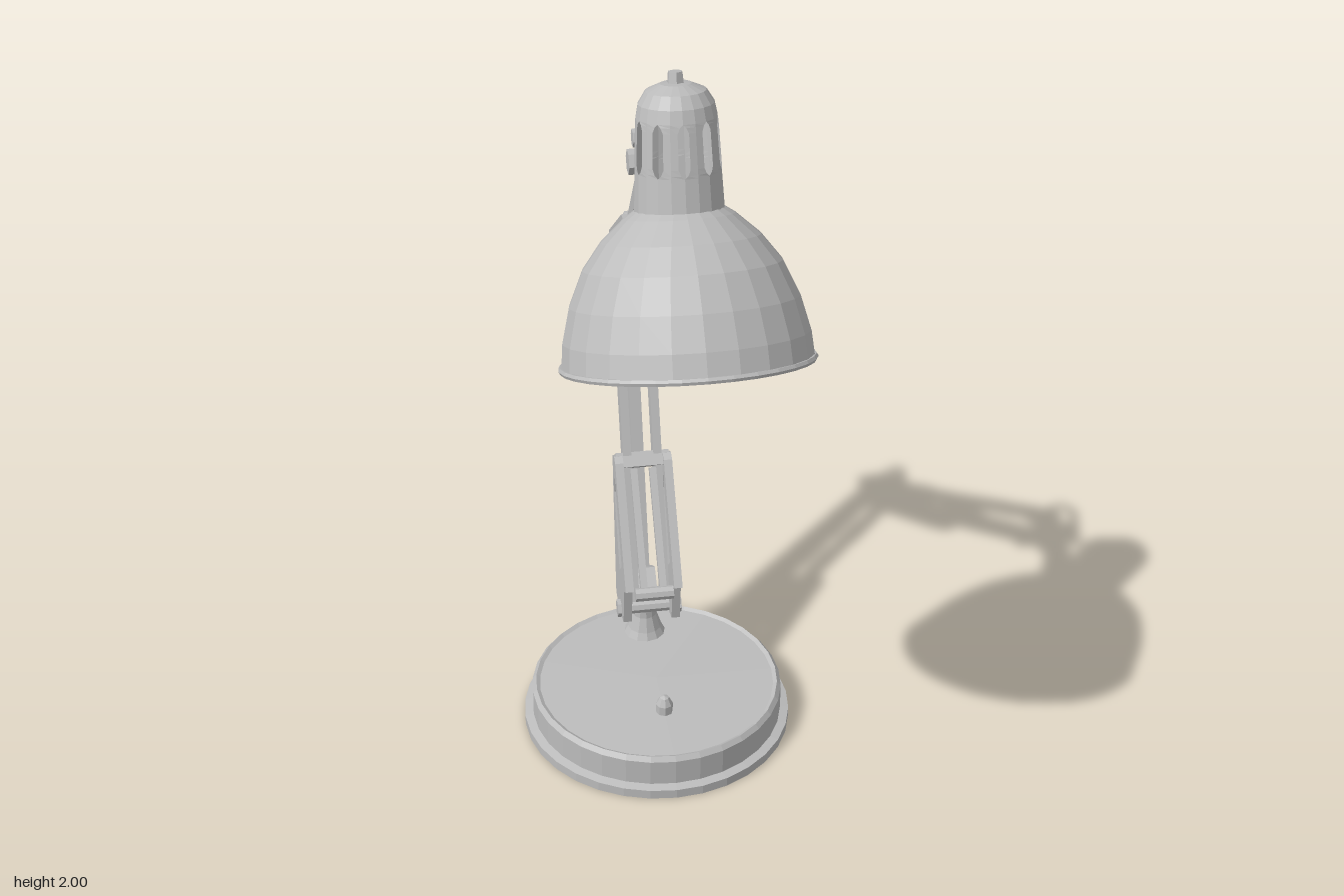
import * as THREE from 'three';

export function createModel() {
  const lamp = new THREE.Group();
  lamp.name = 'deskLamp';
  const grey = new THREE.MeshStandardMaterial({ color: 0xbcbcbc, flatShading: true, side: THREE.DoubleSide });
  grey.name = 'grey enamel';

  const add = (name, geo, parent = lamp) => {
    const m = new THREE.Mesh(geo, grey);
    m.name = name;
    parent.add(m);
    return m;
  };
  const V = (x, y, z) => new THREE.Vector3(x, y, z);
  const lathe = (pts, seg = 24, start = 0, len = Math.PI * 2) =>
    new THREE.LatheGeometry(pts.map(p => new THREE.Vector2(...p)), seg, start, len);

  // Rectangular bar between two [z, y] points: w across x, t thick
  const bar = (name, a, b, x, w, t) => {
    const dz = b[0] - a[0], dy = b[1] - a[1];
    const m = add(name, new THREE.BoxGeometry(w, Math.hypot(dz, dy), t));
    m.position.set(x, (a[1] + b[1]) / 2, (a[0] + b[0]) / 2);
    m.rotation.x = Math.atan2(dz, dy);
  };
  // Plate outlined by [z, y] points, centred on x
  const plate = (name, pts, x, w, hole) => {
    const s = new THREE.Shape(pts.map(p => new THREE.Vector2(...p)));
    if (hole) s.holes.push(new THREE.Path(hole.map(p => new THREE.Vector2(...p))));
    const g = new THREE.ExtrudeGeometry(s, { depth: w, bevelEnabled: false });
    g.translate(0, 0, -w / 2).rotateY(-Math.PI / 2);
    add(name, g).position.x = x;
  };
  // Pin running across x at a [z, y] point
  const pin = (name, [z, y], r, w, sides = 8, x = 0) => {
    const m = add(name, new THREE.CylinderGeometry(r, r, w, sides));
    m.rotation.z = Math.PI / 2;
    m.position.set(x, y, z);
  };
  const tube = (name, pts, r, seg = 20) =>
    add(name, new THREE.TubeGeometry(new THREE.CatmullRomCurve3(pts.map(p => V(...p))), seg, r, 6));

  // Base, switch and post
  add('base', lathe([[0, 0], [0.35, 0], [0.35, 0.025], [0.328, 0.03], [0.328, 0.1], [0.318, 0.112],
    [0.308, 0.106], [0, 0.112]], 32)).position.z = 0.075;
  add('switch', lathe([[0.022, 0], [0.022, 0.025], [0.012, 0.045], [0, 0.05]], 8)).position.set(0, 0.11, 0.21);
  add('post', lathe([[0.055, 0], [0.045, 0.02], [0.032, 0.06], [0.028, 0.14], [0, 0.14]], 12))
    .position.set(0, 0.108, -0.14);

  // Lower arm: spring brackets on both sides, front rods and back rod
  for (const s of [-1, 1]) {
    plate('lowerBracket', [[-0.01, 0.24], [0.005, 0.35], [0.035, 0.37], [-0.15, 0.65], [-0.17, 0.66],
      [-0.2, 0.645], [-0.195, 0.58], [-0.15, 0.24], [-0.1, 0.22]], s * 0.064, 0.022,
    [[-0.04, 0.4], [-0.16, 0.6], [-0.17, 0.55], [-0.08, 0.36]]);
    bar('lowerFrontRod', [-0.05, 0.28], [-0.365, 1.1], s * 0.04, 0.022, 0.042);
    bar('lowerSpring', [0.03, 0.355], [-0.165, 0.62], s * 0.025, 0.018, 0.018);
    pin('lowerBolt', [-0.06, 0.25], 0.024, 0.02, 6, s * 0.075);
  }
  bar('lowerBackRod', [-0.15, 0.24], [-0.44, 1.12], 0, 0.03, 0.042);
  bar('bracketBridge', [-0.165, 0.625], [-0.19, 0.655], 0, 0.14, 0.03);
  pin('bracketPin', [0.035, 0.36], 0.018, 0.1);
  pin('lowerPin', [-0.06, 0.25], 0.018, 0.15);
  plate('postClamp', [[-0.08, 0.22], [-0.08, 0.29], [-0.12, 0.33], [-0.17, 0.3], [-0.17, 0.22]], 0, 0.05);

  // Elbow
  for (const s of [-1, 1])
    plate('elbowPlate', [[-0.33, 1.09], [-0.33, 1.2], [-0.36, 1.24], [-0.39, 1.18], [-0.46, 1.155],
      [-0.47, 1.12], [-0.45, 1.09], [-0.39, 1.12]], s * 0.035, 0.02);
  pin('elbowBolt', [-0.36, 1.11], 0.028, 0.15, 6);
  pin('elbowBackBolt', [-0.45, 1.12], 0.024, 0.1, 6);
  tube('elbowHook', [[0, 1.13, -0.45], [0, 1.18, -0.465], [0, 1.215, -0.458], [0, 1.228, -0.435],
    [0, 1.22, -0.41]], 0.009, 12);

  // Upper arm
  for (const s of [-1, 1]) {
    bar('upperFrontRod', [-0.33, 1.13], [0.15, 1.68], s * 0.035, 0.02, 0.035);
    plate('upperBracket', [[-0.055, 1.385], [-0.075, 1.415], [-0.11, 1.41], [-0.34, 1.24], [-0.36, 1.17],
      [-0.335, 1.12], [-0.27, 1.16], [-0.09, 1.34]], s * 0.05, 0.02,
    [[-0.11, 1.375], [-0.28, 1.24], [-0.28, 1.2], [-0.12, 1.345]]);
  }
  bar('upperBackRod', [-0.35, 1.2], [0.045, 1.72], 0, 0.035, 0.045);
  pin('upperBracketPin', [-0.085, 1.385], 0.018, 0.12);

  // Head joint with link to the shade
  plate('headJoint', [[0.03, 1.69], [0.03, 1.74], [0.08, 1.745], [0.19, 1.735], [0.24, 1.72], [0.31, 1.66],
    [0.29, 1.63], [0.22, 1.68], [0.16, 1.65], [0.12, 1.69]], 0, 0.045);
  pin('headBolt', [0.15, 1.69], 0.03, 0.16, 6);
  pin('headBackBolt', [0.12, 1.735], 0.022, 0.13, 6);
  pin('headPin', [0.055, 1.715], 0.022, 0.08);
  tube('headHook', [[0, 1.72, 0.035], [0, 1.78, 0.035], [0, 1.82, 0.06], [0, 1.838, 0.1], [0, 1.842, 0.125],
    [0, 1.82, 0.125]], 0.01, 14);

  // Shade with rolled rim and lamp fitting
  const shade = new THREE.Group();
  shade.name = 'shade';
  shade.position.set(0, 1.38, 0.535);
  shade.rotation.x = -0.41;
  lamp.add(shade);
  add('shadeShell', lathe([[0.285, 0], [0.28, 0.06], [0.26, 0.14], [0.225, 0.22], [0.18, 0.28],
    [0.125, 0.33], [0.095, 0.35]]), shade);
  add('shadeRim', new THREE.TorusGeometry(0.284, 0.008, 6, 32).rotateX(Math.PI / 2), shade);
  add('bulbTip', new THREE.CylinderGeometry(0.034, 0.034, 0.012, 12), shade).position.y = 0.025;
  add('bulbStem', new THREE.CylinderGeometry(0.012, 0.012, 0.33, 8), shade).position.y = 0.19;

  // Vented cap: two full bands joined by pillars that widen at their ends
  const cap = new THREE.Group();
  cap.name = 'cap';
  cap.position.set(0, 1.69, 0.405);
  cap.rotation.x = -0.23;
  lamp.add(cap);
  const radius = y => 0.102 - 0.05 * y;
  add('capBase', lathe([[0.102, -0.015], [0.102, 0], [radius(0.1), 0.1]], 20), cap);
  add('capTop', lathe([[radius(0.22), 0.22], [0.085, 0.25], [0.068, 0.278], [0.035, 0.293], [0, 0.296]], 20), cap);
  add('capKnob', new THREE.CylinderGeometry(0.017, 0.02, 0.03, 6), cap).position.y = 0.304;
  const vents = 10, step = Math.PI * 2 / vents;
  const rows = [0.1, 0.107, 0.12, 0.2, 0.213, 0.22];
  for (let i = 0; i < vents; i++) {
    const g = lathe(rows.map(y => [radius(y), y]), 2, -step / 2, step);
    const p = g.attributes.position;
    for (let k = 0; k < p.count; k++) {
      const y = p.getY(k), u = Math.min(1, Math.abs(y - 0.16) / 0.06);
      const a = Math.atan2(p.getX(k), p.getZ(k)) * (0.52 + 0.48 * u ** 6);
      p.setXYZ(k, radius(y) * Math.sin(a), y, radius(y) * Math.cos(a));
    }
    g.rotateY((i + 0.5) * step);
    add('capPillar', g, cap);
  }

  // Cables
  tube('headCable', [[0, 1.9, 0.27], [0, 1.85, 0.245], [0, 1.77, 0.225], [0, 1.72, 0.19]], 0.008, 10);
  tube('powerCord', [[0, 0.45, -0.21], [0, 0.33, -0.22], [0, 0.2, -0.26], [0, 0.11, -0.36],
    [0.01, 0.055, -0.48], [0.022, 0.022, -0.62], [0.025, 0.018, -0.7], [0.032, 0.018, -0.8]], 0.009, 28);
  return lamp;
}
